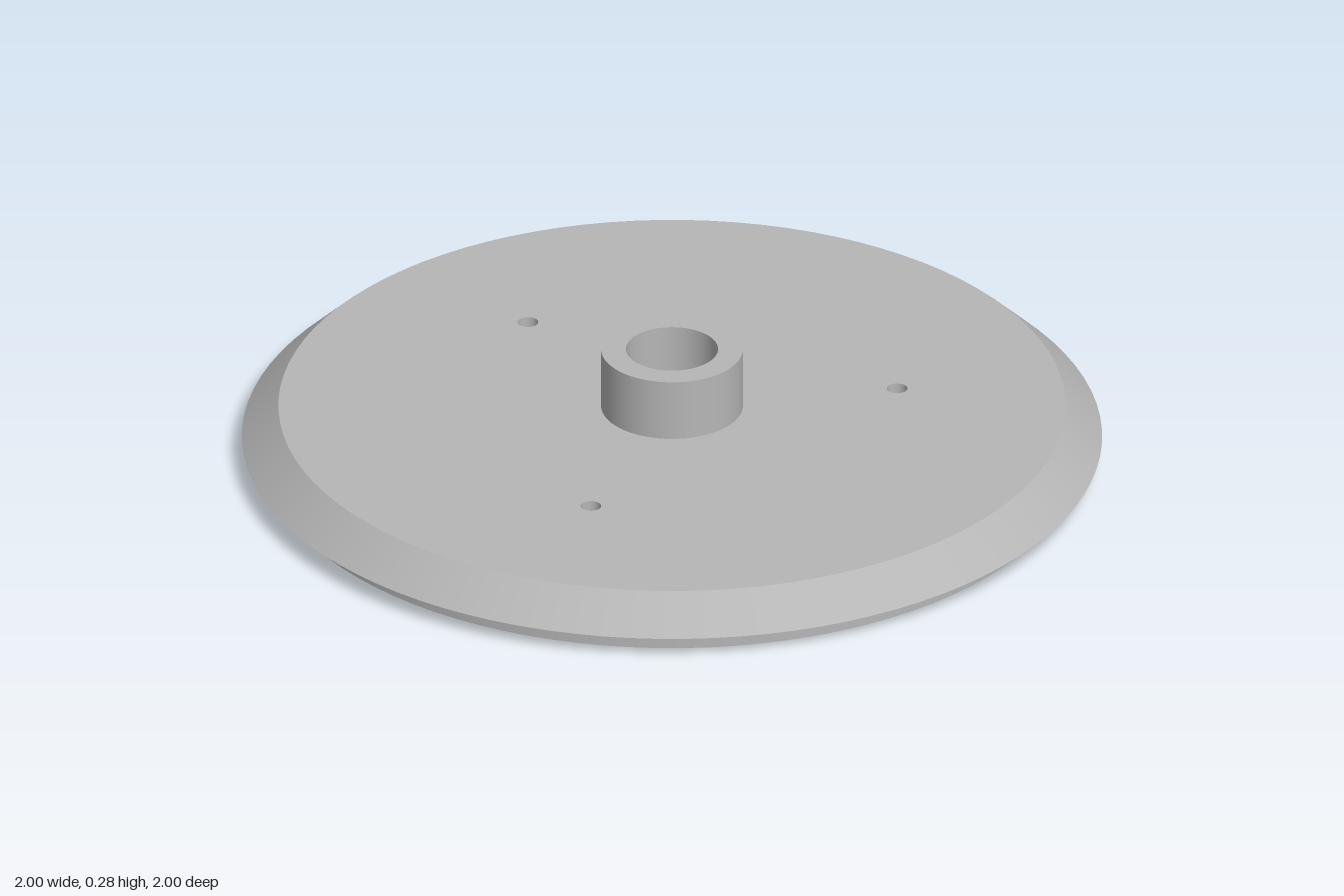
import * as THREE from 'three';
import { mergeGeometries } from 'three/addons/utils/BufferGeometryUtils.js';

const SEG = 96;
const BASE_R = 0.942, RIM_R = 1, TOP_R = 0.915;   // plate radii
const RIM_Y = 0.055, TOP_Y = 0.136;               // plate heights
const HUB_R = 0.165, BORE_R = 0.107, HUB_Y = 0.285;
const SCREW_R = 0.024, SLOT_R = 0.028, SLOT_Y = 0.095;
const WELL_X = 0.47, WELL_R = 0.04;

// Turned surface with a sharp edge at every profile point
function turned(points) {
  const bands = [];
  for (let i = 0; i < points.length - 1; i++) {
    const pair = [points[i], points[i + 1]].map(([r, y]) => new THREE.Vector2(r, y));
    bands.push(new THREE.LatheGeometry(pair, SEG));
  }
  return mergeGeometries(bands);
}

function circle(Type, x, y, r) {
  const c = new Type();
  c.absarc(x, y, r, 0, Math.PI * 2, false);
  return c;
}

export function createModel() {
  const model = new THREE.Group();
  model.name = 'hubPlate';
  const grey = new THREE.MeshStandardMaterial({ color: 0xb6b6b6, side: THREE.DoubleSide });
  grey.name = 'grey';

  const add = (name, geometry, x = 0, y = 0, z = 0) => {
    const mesh = new THREE.Mesh(geometry, grey);
    mesh.name = name;
    mesh.position.set(x, y, z);
    model.add(mesh);
    return mesh;
  };

  // Stepped base and bevelled rim
  add('plateRim', turned([[BASE_R, 0], [BASE_R, RIM_Y], [RIM_R, RIM_Y], [TOP_R, TOP_Y]]));

  // Three screw positions, 120 degrees apart
  const screws = [0, 1, 2].map(i => {
    const a = Math.PI / 2 + i * Math.PI * 2 / 3;
    return [0.53 * Math.cos(a), 0.53 * Math.sin(a)];
  });

  // Top face, pierced by the screw holes and the slot inside the hub
  const topShape = circle(THREE.Shape, 0, 0, TOP_R);
  screws.forEach(([x, z]) => topShape.holes.push(circle(THREE.Path, x, -z, SCREW_R)));
  const slot = new THREE.Path();
  slot.moveTo(BORE_R, SLOT_R);
  slot.lineTo(0, SLOT_R);
  slot.absarc(0, 0, SLOT_R, Math.PI / 2, Math.PI * 1.5, false);
  slot.lineTo(BORE_R, -SLOT_R);
  slot.closePath();
  topShape.holes.push(slot);
  add('topFace', new THREE.ShapeGeometry(topShape, SEG / 2).rotateX(-Math.PI / 2), 0, TOP_Y);

  // Underside with the channel outlet
  const bottomShape = circle(THREE.Shape, 0, 0, BASE_R);
  bottomShape.holes.push(circle(THREE.Path, WELL_X, 0, WELL_R));
  add('bottomFace', new THREE.ShapeGeometry(bottomShape, SEG / 2).rotateX(Math.PI / 2));

  // Hollow hub
  add('hub', turned([[HUB_R, TOP_Y], [HUB_R, HUB_Y], [BORE_R, HUB_Y], [BORE_R, TOP_Y]]));

  // Blind screw holes
  const screwDepth = 0.08;
  screws.forEach(([x, z]) => {
    add('screwHoleWall', new THREE.CylinderGeometry(SCREW_R, SCREW_R, screwDepth, 24, 1, true),
      x, TOP_Y - screwDepth / 2, z);
    add('screwHoleFloor', new THREE.CircleGeometry(SCREW_R, 24).rotateX(-Math.PI / 2),
      x, TOP_Y - screwDepth, z);
  });

  // Round-bottomed slot in the hub floor
  const wallH = TOP_Y - SLOT_Y;
  add('slotEnd', new THREE.CylinderGeometry(SLOT_R, SLOT_R, wallH, 16, 1, true, Math.PI, Math.PI),
    0, SLOT_Y + wallH / 2);
  add('slotEndFloor', new THREE.SphereGeometry(SLOT_R, 16, 8, -Math.PI / 2, Math.PI, Math.PI / 2, Math.PI / 2),
    0, SLOT_Y);
  add('slotFloor', new THREE.CylinderGeometry(SLOT_R, SLOT_R, BORE_R, 16, 1, true, Math.PI, Math.PI)
    .rotateZ(Math.PI / 2), BORE_R / 2, SLOT_Y);
  for (const side of [-1, 1]) {
    const wall = new THREE.PlaneGeometry(BORE_R, wallH);
    if (side > 0) wall.rotateY(Math.PI);
    add('slotWall', wall, BORE_R / 2, SLOT_Y + wallH / 2, side * SLOT_R);
  }

  // Tunnel through the plate to the outlet underneath
  const tunnel = WELL_X - WELL_R - BORE_R;
  add('tunnel', new THREE.CylinderGeometry(SLOT_R, SLOT_R, tunnel, 24, 1, true).rotateZ(Math.PI / 2),
    BORE_R + tunnel / 2, SLOT_Y);
  const wellH = SLOT_Y + SLOT_R;
  add('outletWall', new THREE.CylinderGeometry(WELL_R, WELL_R, wellH, 32, 1, true), WELL_X, wellH / 2);
  add('outletCap', new THREE.CircleGeometry(WELL_R, 32).rotateX(Math.PI / 2), WELL_X, wellH);

  return model;
}
